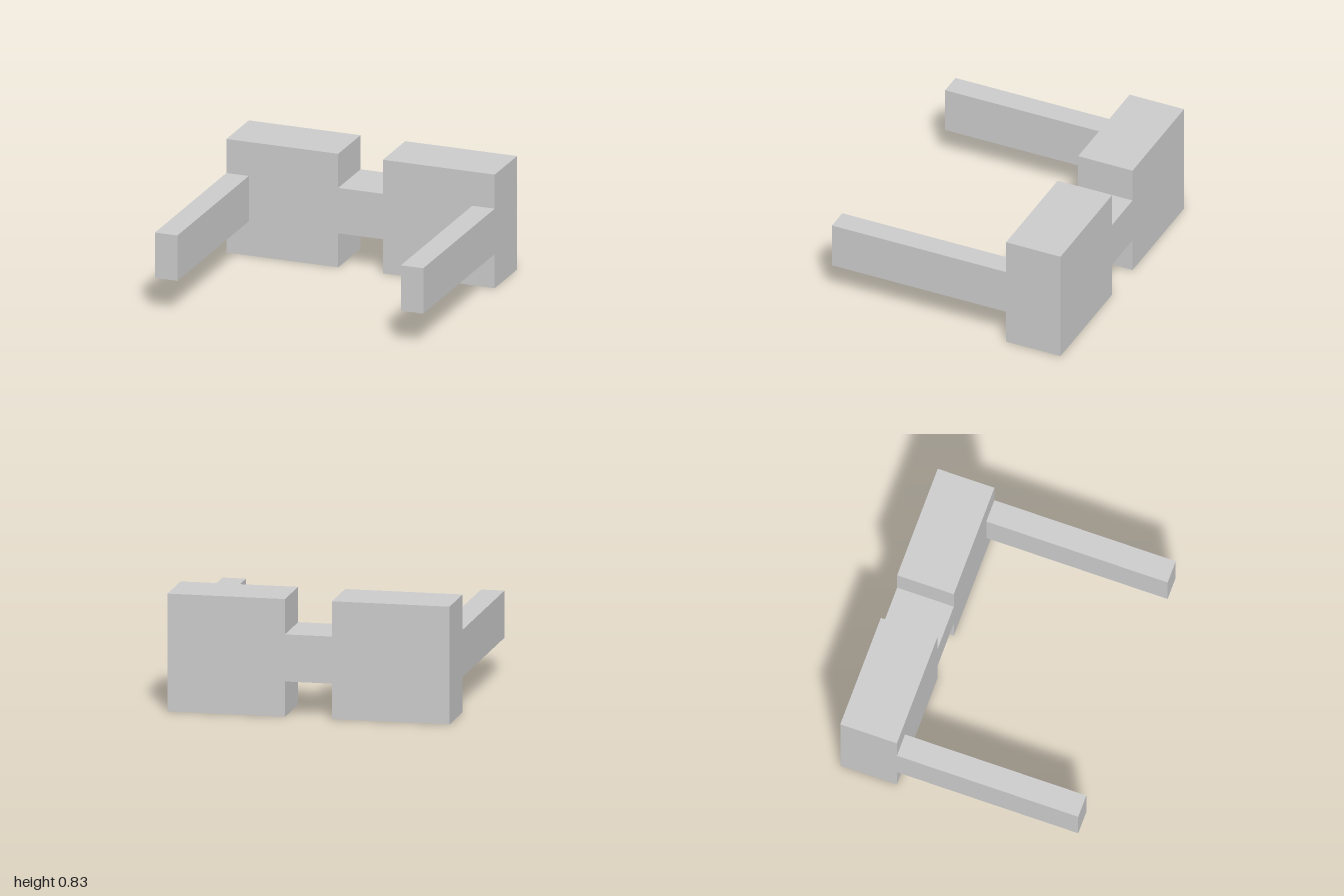
import * as THREE from 'three';

const U = 1 / 12; // design unit

export function createModel() {
  const group = new THREE.Group();
  group.name = 'spectacles';
  const material = new THREE.MeshStandardMaterial({ color: 0xcccccc, flatShading: true });

  // Front frame: two square lens blocks joined by a narrow bridge, as one solid
  const outline = [
    [-12, 0], [-2, 0], [-2, 3], [2, 3], [2, 0], [12, 0],
    [12, 10], [2, 10], [2, 7], [-2, 7], [-2, 10], [-12, 10],
  ];
  const shape = new THREE.Shape(outline.map(([x, y]) => new THREE.Vector2(x * U, y * U)));
  const frame = new THREE.Mesh(
    new THREE.ExtrudeGeometry(shape, { depth: 5 * U, bevelEnabled: false }),
    material
  );
  frame.name = 'frontFrame';
  frame.position.z = -10.5 * U;
  group.add(frame);

  // Straight temple arms, flush with the outer sides of the frame
  for (const [name, side] of [['leftArm', 1], ['rightArm', -1]]) {
    const arm = new THREE.Mesh(new THREE.BoxGeometry(2 * U, 4 * U, 16 * U), material);
    arm.name = name;
    arm.position.set(side * 11 * U, 5 * U, 2.5 * U);
    group.add(arm);
  }

  return group;
}
